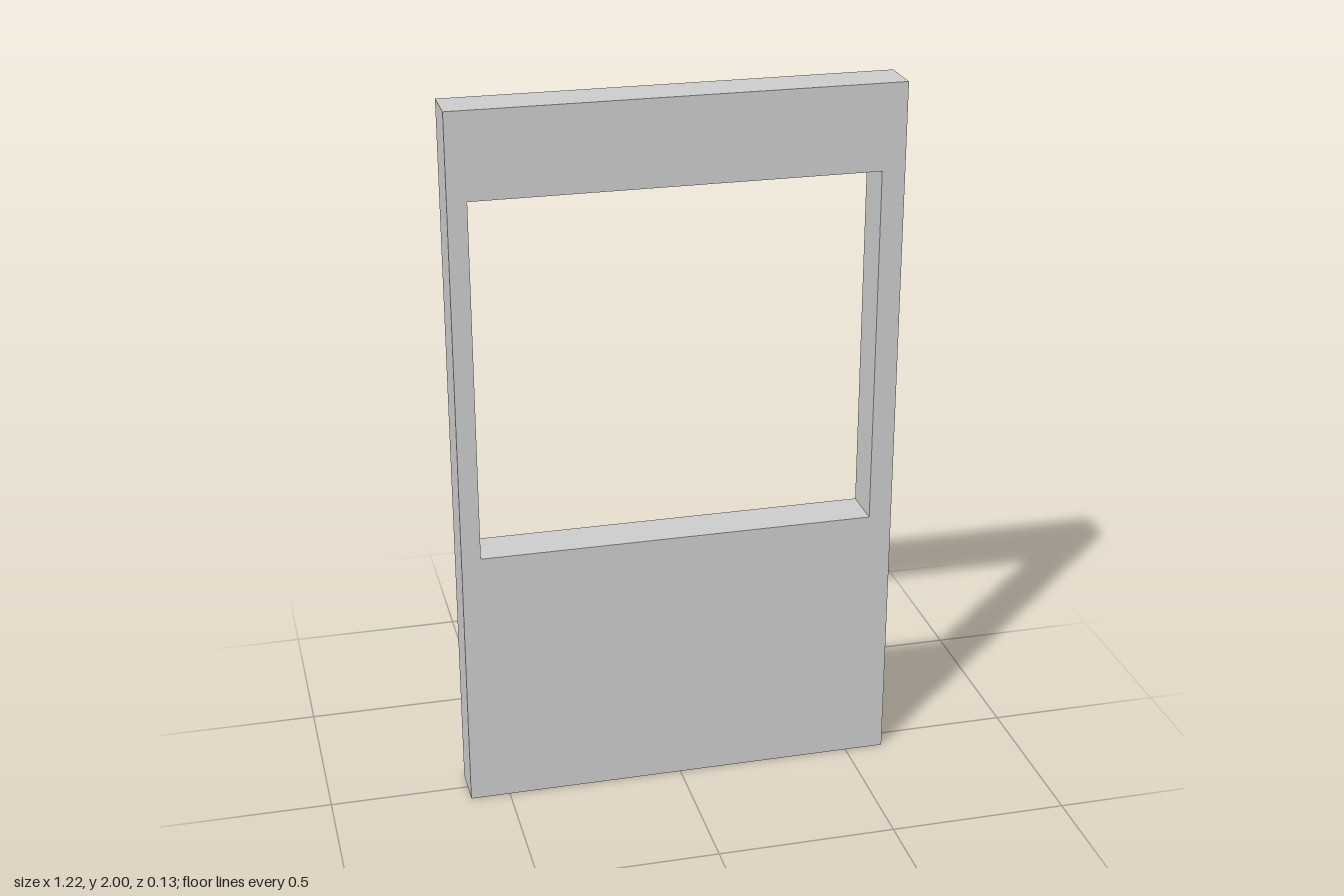
import * as THREE from 'three';

const WIDTH = 1.222, HEIGHT = 2, DEPTH = 0.127;
const OPENING = { left: -0.558, right: 0.547, bottom: 0.752, top: 1.762 };

// Closed rectangular outline
function rectangle(path, left, right, bottom, top) {
  path.moveTo(left, bottom);
  path.lineTo(right, bottom);
  path.lineTo(right, top);
  path.lineTo(left, top);
  path.closePath();
  return path;
}

export function createModel() {
  const model = new THREE.Group();
  model.name = 'wallPanelWithWindow';

  // Wall slab with a slightly off-centre window opening
  const outline = rectangle(new THREE.Shape(), -WIDTH / 2, WIDTH / 2, 0, HEIGHT);
  outline.holes.push(
    rectangle(new THREE.Path(), OPENING.left, OPENING.right, OPENING.bottom, OPENING.top)
  );
  const geometry = new THREE.ExtrudeGeometry(outline, { depth: DEPTH, bevelEnabled: false });
  geometry.translate(0, 0, -DEPTH / 2);

  const wall = new THREE.Mesh(
    geometry,
    new THREE.MeshStandardMaterial({ color: 0xcccccc, flatShading: true })
  );
  wall.name = 'wallPanel';
  model.add(wall);

  return model;
}
